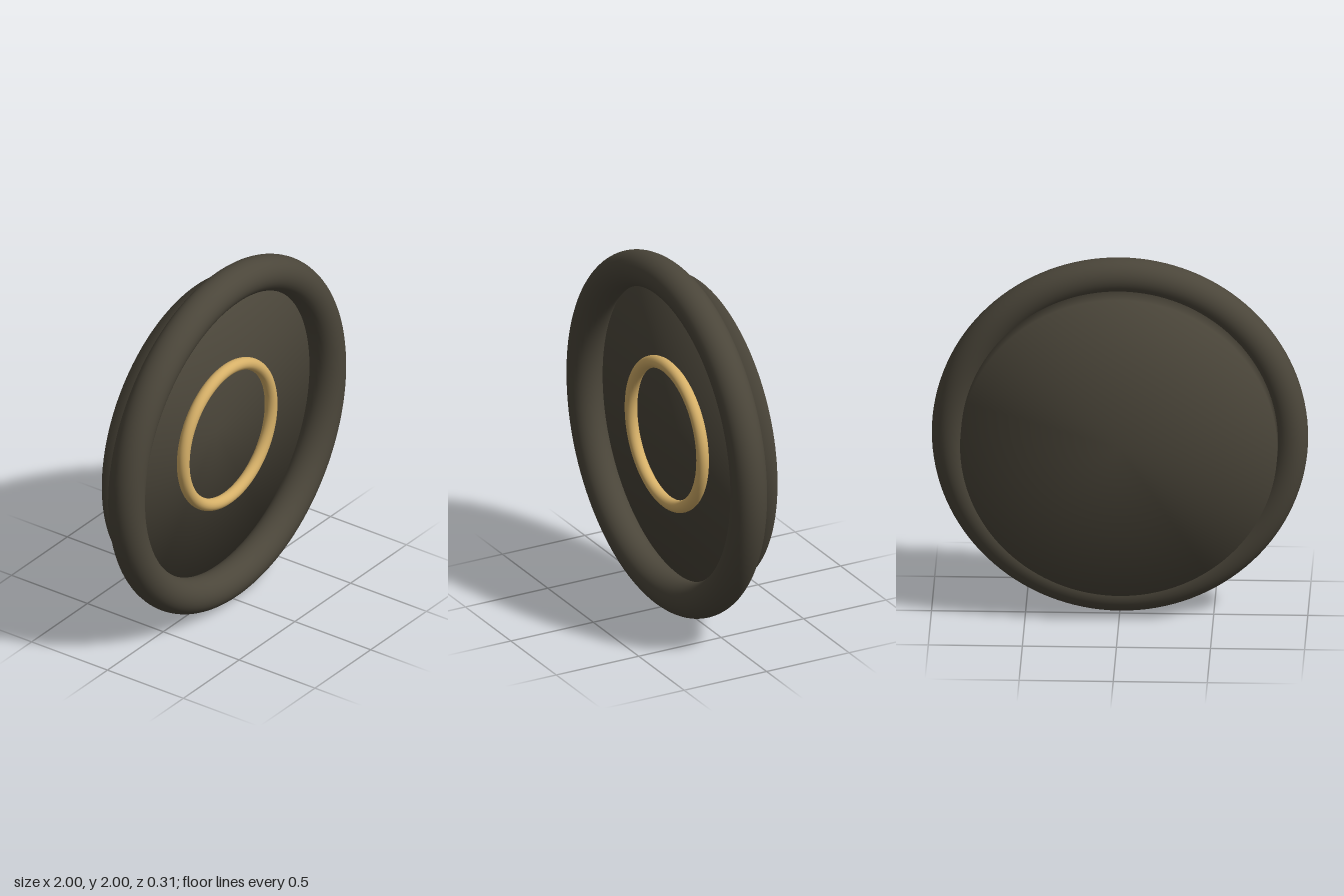
import * as THREE from 'three';

const dark = new THREE.MeshStandardMaterial({ color: 0x4b463a });
dark.name = 'dark olive';
const gold = new THREE.MeshStandardMaterial({ color: 0xd6b068 });
gold.name = 'gold';

const RIM_Z = 0.054; // plane shared by the rim and the inlay ring
const FRONT = -0.016; // recessed face of the body
const BACK = -0.153;

function addPart(group, name, geometry, material, z) {
  const mesh = new THREE.Mesh(geometry, material);
  mesh.name = name;
  mesh.position.set(0, 1, z);
  group.add(mesh);
}

// Flat disc along z, shaded softly: normals lean outward to 45 degrees at the edges
function softDisc(radius, depth) {
  const disc = new THREE.CylinderGeometry(radius, radius, depth, 128).rotateX(Math.PI / 2);
  const { position, normal } = disc.attributes;
  const n = new THREE.Vector3();
  for (let i = 0; i < position.count; i++) {
    n.fromBufferAttribute(position, i);
    n.z = Math.sign(n.z) * radius;
    n.normalize();
    normal.setXYZ(i, n.x, n.y, n.z);
  }
  return disc;
}

export function createModel() {
  const group = new THREE.Group();
  group.name = 'roundPlaque';

  // Thick rounded rim
  addPart(group, 'rim', new THREE.TorusGeometry(0.902, 0.098, 32, 128), dark, RIM_Z);
  // Solid body, recessed inside the rim and protruding behind it
  addPart(group, 'body', softDisc(0.843, FRONT - BACK), dark, (FRONT + BACK) / 2);
  // Slim ring standing proud of the face
  addPart(group, 'inlayRing', new THREE.TorusGeometry(0.394, 0.034, 20, 128), gold, RIM_Z);

  return group;
}
